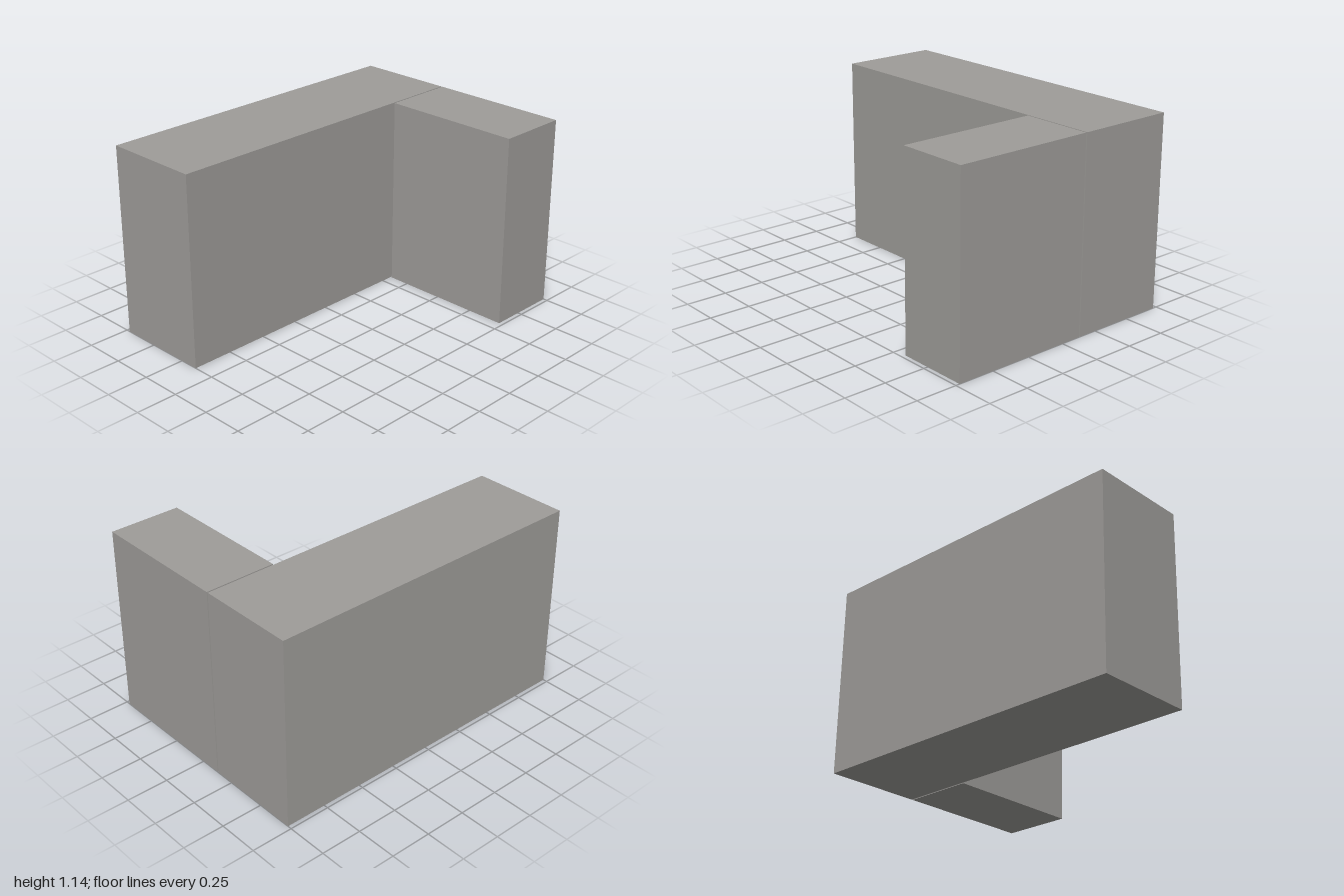
import * as THREE from 'three';

const HEIGHT = 1.144;

export function createModel() {
  const model = new THREE.Group();
  const material = new THREE.MeshStandardMaterial({ color: 0x9e9c99 });

  // Upright block given by its extents on the ground plan
  const addBlock = (name, x0, x1, z0, z1) => {
    const block = new THREE.Mesh(new THREE.BoxGeometry(x1 - x0, HEIGHT, z1 - z0), material);
    block.name = name;
    block.position.set((x0 + x1) / 2, HEIGHT / 2, (z0 + z1) / 2);
    model.add(block);
  };

  // Long block across the back, and a side wing separated by a thin gap
  addBlock('mainBlock', -1, 1, -0.725, -0.133);
  addBlock('sideWing', 0.572, 1, -0.125, 0.725);

  return model;
}
